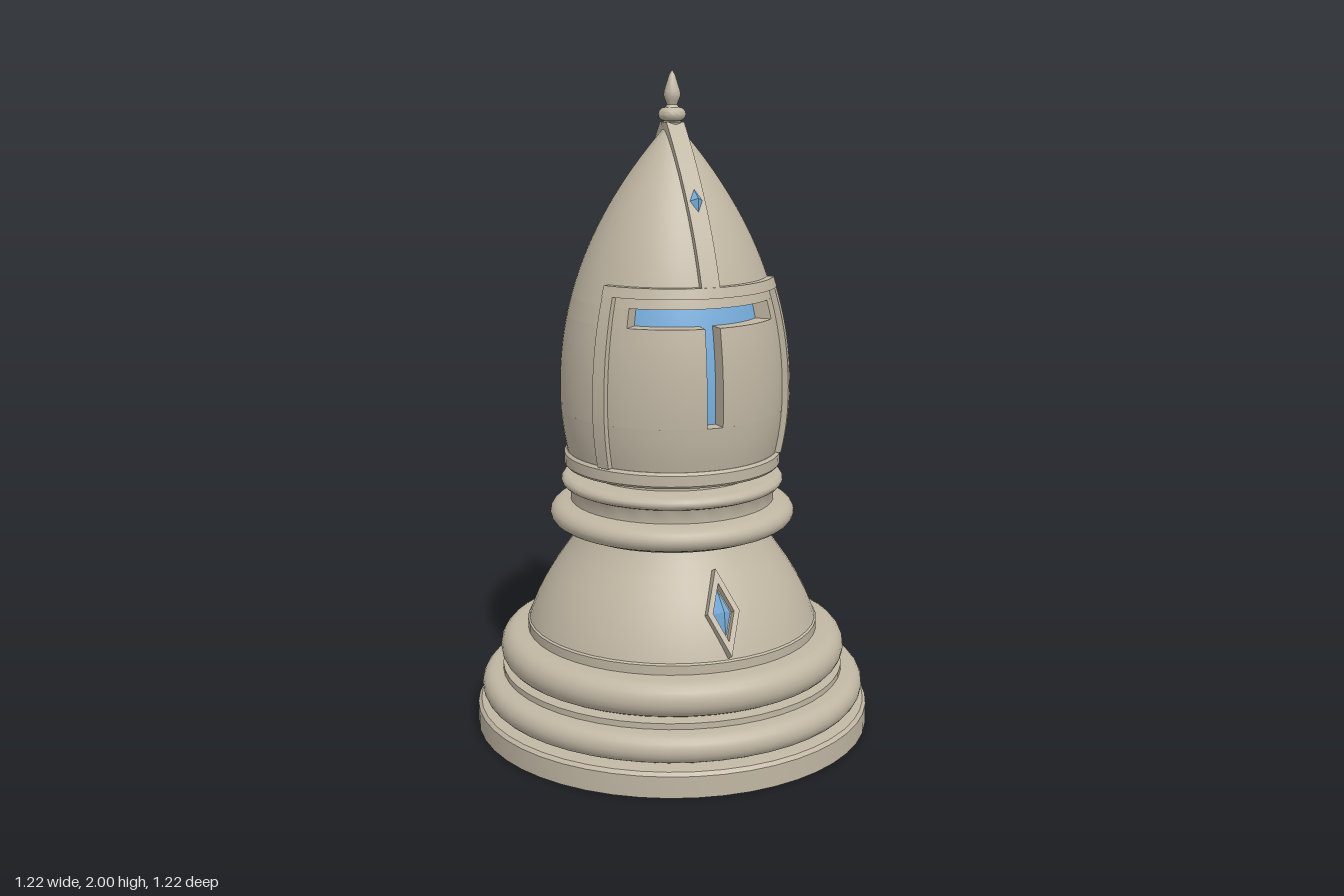
import * as THREE from 'three';
import { toCreasedNormals } from 'three/addons/utils/BufferGeometryUtils.js';

const stone = new THREE.MeshStandardMaterial({ color: 0xc0b6a3 });
stone.name = 'stone';
const blue = new THREE.MeshStandardMaterial({ color: 0x78aedd });
blue.name = 'blue';

// Helmet radius at height y
function helmetRadius(y) {
  if (y < 1.05) return 0.34 - 0.02 * ((1.05 - y) / 0.18) ** 2;
  return 0.34 * (1 - Math.min(1, (y - 1.05) / 0.81) ** 2.15);
}

function add(group, name, geometry, material = stone) {
  const mesh = new THREE.Mesh(geometry, material);
  mesh.name = name;
  group.add(mesh);
  return mesh;
}

function lathe(points, segments = 48) {
  const profile = points.map(([r, y]) => new THREE.Vector2(r, y));
  return toCreasedNormals(new THREE.LatheGeometry(profile, segments), 0.6);
}

// Half-round bead for a turned profile: bulges from radius r to r + bulge
function bead(r, bulge, y0, y1, steps = 10) {
  const points = [];
  for (let i = 0; i <= steps; i++) {
    const a = -Math.PI / 2 + (Math.PI * i) / steps;
    points.push([r + bulge * Math.cos(a), (y0 + y1) / 2 + ((y1 - y0) / 2) * Math.sin(a)]);
  }
  return points;
}

// Box bent around the helmet: angle range, height range, offsets from the helmet surface
function curvedBlock(a0, a1, y0, y1, inner, outer) {
  const na = Math.max(2, Math.ceil((a1 - a0) * 11));
  const ny = Math.max(1, Math.ceil((y1 - y0) / 0.03));
  const geometry = new THREE.BoxGeometry(1, 1, 1, na, ny, 1);
  const p = geometry.attributes.position;
  for (let i = 0; i < p.count; i++) {
    const a = THREE.MathUtils.lerp(a0, a1, p.getX(i) + 0.5);
    const y = THREE.MathUtils.lerp(y0, y1, p.getY(i) + 0.5);
    const r = Math.max(0.001, helmetRadius(y) + (p.getZ(i) > 0 ? outer : inner));
    p.setXYZ(i, r * Math.sin(a), y, r * Math.cos(a));
  }
  return toCreasedNormals(geometry, 0.6);
}

function diamond(shape, w, h) {
  shape.moveTo(0, -h);
  shape.lineTo(w, 0);
  shape.lineTo(0, h);
  shape.lineTo(-w, 0);
  shape.closePath();
  return shape;
}

function createBase() {
  const base = new THREE.Group();
  base.name = 'base';
  add(base, 'foot', lathe([[0, 0], [0.61, 0], [0.61, 0.065], [0.6, 0.075], [0.56, 0.08], [0.5, 0.08]]));
  add(base, 'lowerRings', lathe([
    [0.55, 0.075], ...bead(0.555, 0.04, 0.085, 0.17), [0.53, 0.172], [0.53, 0.19],
    ...bead(0.485, 0.05, 0.195, 0.302), [0.45, 0.304], [0.45, 0.332], [0.44, 0.338],
  ]));
  add(base, 'bell', lathe([
    [0.445, 0.337], [0.435, 0.365], [0.418, 0.405], [0.395, 0.45], [0.365, 0.5],
    [0.33, 0.55], [0.298, 0.595], [0.278, 0.63], [0.27, 0.65],
  ]));
  add(base, 'neckRings', lathe([
    [0.27, 0.625], [0.315, 0.628], ...bead(0.33, 0.045, 0.638, 0.71), [0.312, 0.714], [0.312, 0.752],
    ...bead(0.315, 0.025, 0.757, 0.795, 8), [0.265, 0.8], [0.265, 0.83],
  ]));
  return base;
}

// Framed gem lying on the slope of the bell
function createEmblem() {
  const emblem = new THREE.Group();
  emblem.name = 'baseEmblem';
  const outline = diamond(new THREE.Shape(), 0.05, 0.13);
  outline.holes.push(diamond(new THREE.Path(), 0.033, 0.086));
  add(emblem, 'emblemFrame', new THREE.ExtrudeGeometry(outline, { depth: 0.05, bevelEnabled: false }));
  const gem = add(emblem, 'emblemGem', new THREE.OctahedronGeometry(1), blue);
  gem.scale.set(0.028, 0.07, 0.025);
  gem.position.z = 0.03;
  emblem.position.set(0, 0.445, 0.365);
  emblem.rotation.x = -0.51;
  return emblem;
}

function createHelmet() {
  const helmet = new THREE.Group();
  helmet.name = 'helmet';
  const slot = 0.79, slit = 0.073, depth = -0.05, full = Math.PI;
  add(helmet, 'helmetRim', lathe([[0.2, 0.823], [0.325, 0.823], [0.33, 0.83], [0.33, 0.862], [0.322, 0.87], [0.2, 0.87]]));

  // Shell pieces leave the T-shaped opening free
  add(helmet, 'lowerShell', curvedBlock(-full, full, 0.865, 1.0, depth, 0));
  add(helmet, 'cheekShell', curvedBlock(slit, 2 * full - slit, 1.0, 1.285, depth, 0));
  add(helmet, 'eyeLevelShell', curvedBlock(slot, 2 * full - slot, 1.285, 1.34, depth, 0));
  add(helmet, 'dome', curvedBlock(-full, full, 1.34, 1.858, depth, 0));
  add(helmet, 'eyeGlow', curvedBlock(-slot, slot, 1.28, 1.345, depth - 0.008, depth + 0.001), blue);
  add(helmet, 'slitGlow', curvedBlock(-slit, slit, 0.995, 1.285, depth - 0.008, depth + 0.001), blue);

  // Raised border of the face guard
  add(helmet, 'visorTop', curvedBlock(-1.07, 1.07, 1.37, 1.4, -0.01, 0.02));
  for (const side of [-1, 1]) {
    const [a0, a1] = side > 0 ? [0.95, 1.07] : [-1.07, -0.95];
    add(helmet, side > 0 ? 'visorSideLeft' : 'visorSideRight', curvedBlock(a0, a1, 0.87, 1.37, -0.01, 0.018));
  }

  // Crest band running over the top from the visor to the back rim
  const crest = new THREE.Shape();
  const steps = 24;
  const trace = (side, y0, y1, offset) => {
    for (let i = 0; i <= steps; i++) {
      const y = y0 + ((y1 - y0) * i) / steps;
      const z = side * Math.max(0.004, helmetRadius(y) + offset);
      if (crest.curves.length || crest.currentPoint.y) crest.lineTo(z, y);
      else crest.moveTo(z, y);
    }
  };
  trace(1, 1.39, 1.85, 0.017);
  trace(-1, 1.85, 0.87, 0.017);
  trace(-1, 0.871, 1.82, -0.02);
  trace(1, 1.82, 1.391, -0.02);
  const band = new THREE.ExtrudeGeometry(crest, { depth: 0.056, bevelEnabled: false });
  band.rotateY(-Math.PI / 2).translate(0.028, 0, 0);
  add(helmet, 'crestBand', toCreasedNormals(band, 0.6));

  const gem = add(helmet, 'crestGem', new THREE.OctahedronGeometry(1), blue);
  gem.scale.set(0.019, 0.036, 0.018);
  gem.position.set(0, 1.635, helmetRadius(1.635) + 0.018);
  gem.rotation.x = -0.5;

  add(helmet, 'finial', lathe([
    [0.03, 1.835], [0.033, 1.85], ...bead(0.02, 0.021, 1.852, 1.892, 8), [0.015, 1.9],
    [0.02, 1.912], [0.025, 1.925], [0.024, 1.938], [0.017, 1.96], [0.009, 1.985], [0, 2],
  ], 24));
  return helmet;
}

export function createModel() {
  const model = new THREE.Group();
  model.name = 'chessBishop';
  model.add(createBase(), createHelmet());
  for (const turn of [0, Math.PI]) {
    const pivot = new THREE.Group();
    pivot.name = turn ? 'backEmblem' : 'frontEmblem';
    pivot.rotation.y = turn;
    pivot.add(createEmblem());
    model.add(pivot);
  }
  return model;
}
